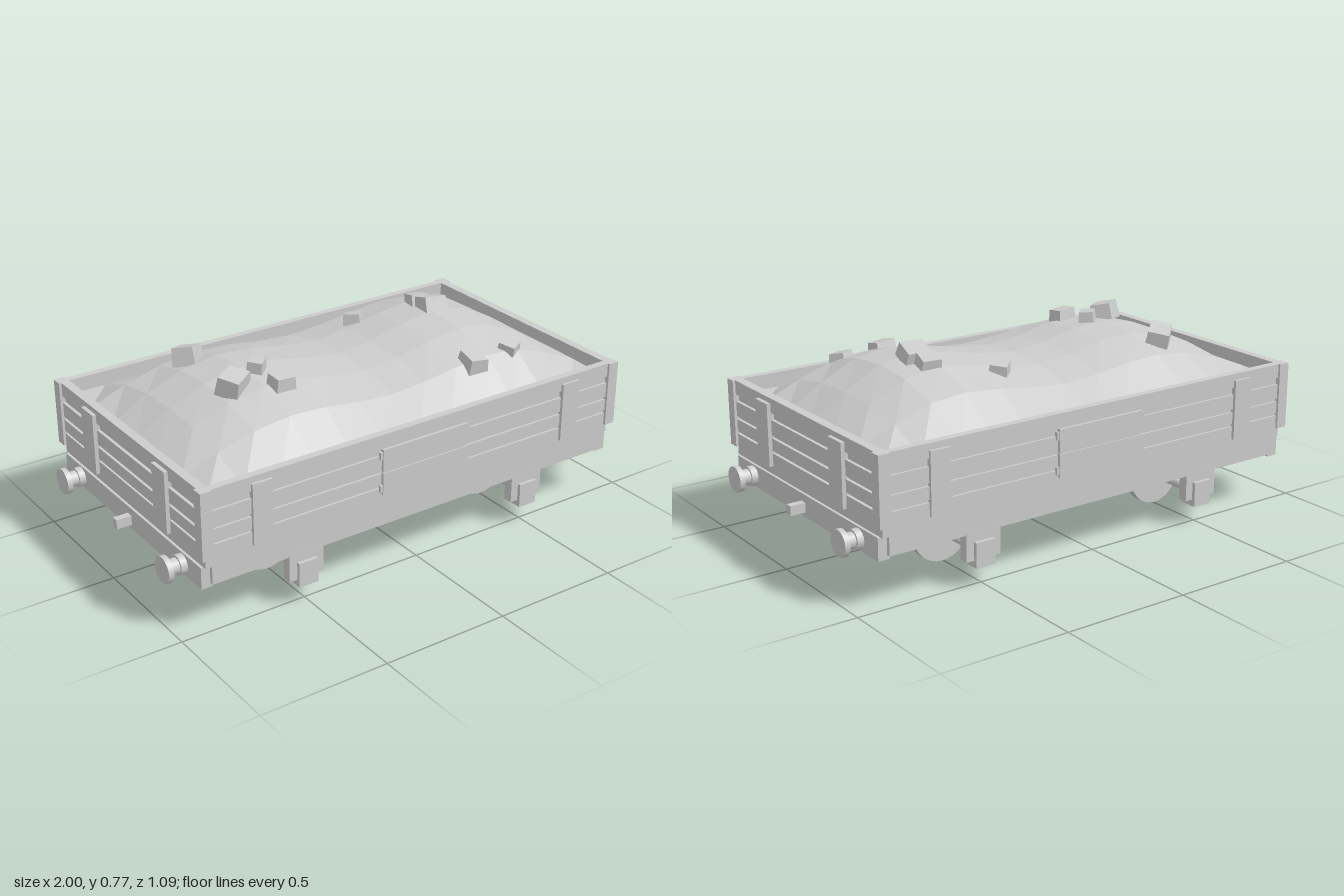
import * as THREE from 'three';

const mat = new THREE.MeshStandardMaterial({ color: 0xcccccc });
const flat = new THREE.MeshStandardMaterial({ color: 0xcccccc, flatShading: true, side: THREE.DoubleSide });

export function createModel() {
  const root = new THREE.Group();
  root.name = 'openWagon';

  const add = (name, geo, x, y, z, m = mat) => {
    const mesh = new THREE.Mesh(geo, m);
    mesh.name = name;
    mesh.position.set(x, y, z);
    root.add(mesh);
    return mesh;
  };
  // Box given by its extents on each axis
  const box = (name, x0, x1, y0, y1, z0, z1) =>
    add(name, new THREE.BoxGeometry(Math.abs(x1 - x0), y1 - y0, Math.abs(z1 - z0)),
      (x0 + x1) / 2, (y0 + y1) / 2, (z0 + z1) / 2);
  const cylinder = (name, r, length, axis, x, y, z, sides = 32) => {
    const geo = new THREE.CylinderGeometry(r, r, length, sides);
    if (axis === 'x') geo.rotateZ(Math.PI / 2);
    else geo.rotateX(Math.PI / 2);
    return add(name, geo, x, y, z);
  };

  // Floor
  box('floor', -0.9, 0.9, 0.27, 0.31, -0.505, 0.505);

  // Planked walls: thin core with raised boards
  const boards = [[0.31, 0.36], [0.37, 0.418], [0.43, 0.488], [0.515, 0.57]];
  for (const s of [-1, 1]) {
    box('sideWall', -0.9, 0.9, 0.31, 0.57, s * 0.505, s * 0.526);
    box('endWall', s * 0.885, s * 0.908, 0.31, 0.57, -0.505, 0.505);
    for (const [y0, y1] of boards) {
      box('sideBoard', -0.9, 0.9, y0, y1, s * 0.52, s * 0.535);
      box('endBoard', s * 0.9, s * 0.92, y0, y1, -0.52, 0.52);
    }

    // Side door of two boards with corner hinges
    box('doorLower', -0.19, 0.19, 0.335, 0.422, s * 0.53, s * 0.546);
    box('doorUpper', -0.19, 0.19, 0.43, 0.515, s * 0.53, s * 0.546);
    box('doorBacking', -0.185, 0.185, 0.34, 0.51, s * 0.53, s * 0.541);

    // Underframe
    box('soleBar', -0.885, 0.885, 0.2, 0.31, s * 0.47, s * 0.525);
    box('headstock', s * 0.875, s * 0.92, 0.185, 0.27, -0.51, 0.51);
    box('endBeam', s * 0.87, s * 0.91, 0.27, 0.31, -0.525, 0.525);
    box('couplingHook', s * 0.92, s * 0.98, 0.203, 0.24, -0.014, 0.014);

    for (const t of [-1, 1]) {
      box('cornerPlate', s * 0.885, s * 0.93, 0.31, 0.57, t * 0.5, t * 0.544);
      box('sidePost', t * 0.65, t * 0.73, 0.31, 0.545, s * 0.52, s * 0.546);
      box('endPost', s * 0.9, s * 0.935, 0.31, 0.55, t * 0.22, t * 0.31);
      for (const y of [0.36, 0.49])
        box('doorHinge', t * 0.18, t * 0.2, y - 0.015, y + 0.015, s * 0.53, s * 0.543);

      // Buffers
      cylinder('bufferHousing', 0.038, 0.03, 'x', s * 0.93, 0.227, t * 0.384, 16);
      cylinder('bufferShaft', 0.03, 0.07, 'x', s * 0.95, 0.227, t * 0.384, 16);
      cylinder('bufferHead', 0.05, 0.02, 'x', s * 0.99, 0.227, t * 0.384);

      // Wheels and axle boxes
      cylinder('wheel', 0.119, 0.036, 'z', s * 0.505, 0.119, t * 0.244);
      const x = s * 0.505;
      box('axleBox', x - 0.04, x + 0.04, 0.074, 0.17, t * 0.47, t * 0.54);
      box('axleGuard', x - 0.072, x + 0.072, 0.1, 0.21, t * 0.488, t * 0.526);
    }
    cylinder('axle', 0.017, 0.98, 'z', s * 0.505, 0.122, 0, 12);
  }

  // Heaped load: lengthwise profile scaled by a crosswise profile
  const along = [0.01, 0.1, 0.16, 0.187, 0.178, 0.147, 0.132, 0.148, 0.18, 0.2, 0.18, 0.105, 0.01];
  const across = [0, 0.66, 0.92, 1, 0.92, 0.66, 0];
  const heap = new THREE.PlaneGeometry(1.77, 1.01, 12, 6).rotateX(-Math.PI / 2);
  const pos = heap.attributes.position;
  for (let i = 0; i < pos.count; i++)
    pos.setY(i, 0.513 + along[i % 13] * across[Math.floor(i / 13)]);
  heap.computeVertexNormals();
  add('loadHeap', heap, 0, 0, 0, flat);

  // Loose lumps: x, y, z, width, height, depth, turn, tilt
  const lumps = [
    [-0.52, 0.68, -0.245, 0.11, 0.07, 0.09, 0.75, -0.25],
    [-0.535, 0.705, 0.11, 0.12, 0.07, 0.09, 0.62, 0.25],
    [-0.4, 0.715, 0.05, 0.07, 0.045, 0.06, 0.75, 0.12],
    [-0.38, 0.695, 0.185, 0.085, 0.055, 0.07, 0.05, 0.1],
    [0.21, 0.665, -0.21, 0.07, 0.045, 0.07, 0.75, -0.15],
    [0.465, 0.71, -0.13, 0.08, 0.055, 0.08, -0.2, -0.25],
    [0.47, 0.725, -0.045, 0.1, 0.06, 0.1, -0.15, -0.3],
    [0.37, 0.64, 0.345, 0.085, 0.065, 0.09, -0.08, 0.2],
    [0.565, 0.642, 0.32, 0.075, 0.045, 0.07, 0.5, 0.25],
  ];
  for (const [x, y, z, w, h, d, turn, tilt] of lumps) {
    const geo = new THREE.BoxGeometry(w, h, d);
    const p = geo.attributes.position;
    // Taper the top to one side for a rough, broken shape
    for (let i = 0; i < p.count; i++)
      if (p.getY(i) > 0) p.setXYZ(i, p.getX(i) * 0.88, p.getY(i) * (p.getX(i) > 0 ? 0.8 : 1.05), p.getZ(i) * 0.9);
    geo.computeVertexNormals();
    add('lump', geo, x, y, z, flat).rotation.set(tilt, turn, 0);
  }

  return root;
}
